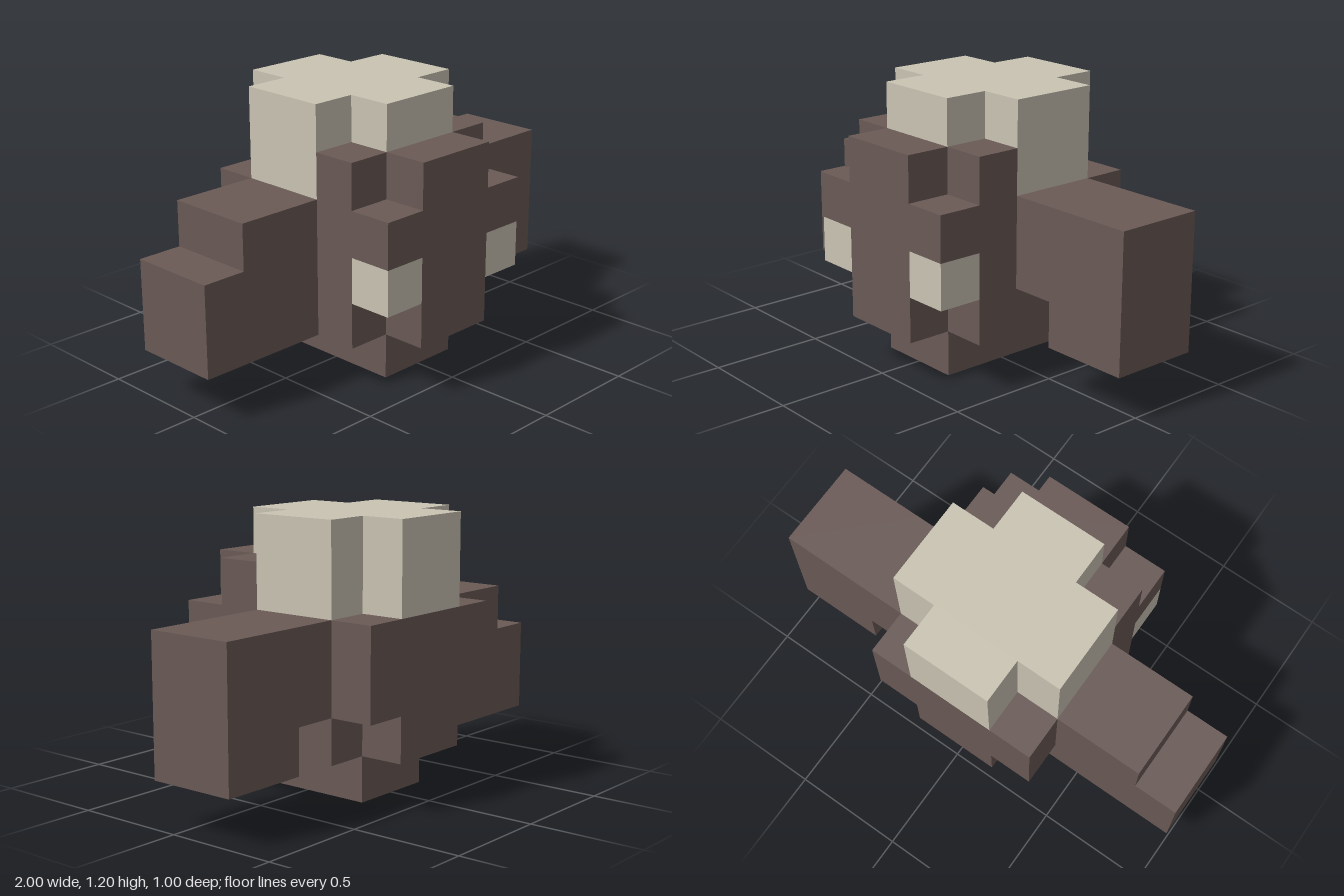
import * as THREE from 'three';

export function createModel() {
  const model = new THREE.Group();
  model.name = 'blockFigure';

  const brown = new THREE.MeshStandardMaterial({ color: 0x6a5a56 });
  brown.name = 'darkBrown';
  const cream = new THREE.MeshStandardMaterial({ color: 0xcac4b3 });
  cream.name = 'bone';

  // Box given by its extents along each axis
  const block = (parent, name, material, [x0, x1], [y0, y1], [z0, z1]) => {
    const mesh = new THREE.Mesh(new THREE.BoxGeometry(x1 - x0, y1 - y0, z1 - z0), material);
    mesh.position.set((x0 + x1) / 2, (y0 + y1) / 2, (z0 + z1) / 2);
    mesh.name = name;
    parent.add(mesh);
  };
  const part = (name) => {
    const group = new THREE.Group();
    group.name = name;
    model.add(group);
    return group;
  };

  // Base
  block(model, 'base', brown, [-0.2, 0.2], [0, 0.2], [-0.3, 0.3]);

  // Body: core, stepped back and raised snout column
  const body = part('body');
  block(body, 'core', brown, [-0.4, 0.4], [0.2, 0.8], [-0.3, 0.3]);
  block(body, 'upperBack', brown, [-0.4, 0.4], [0.4, 0.8], [-0.5, -0.3]);
  block(body, 'lowerBack', brown, [-0.2, 0.2], [0.2, 0.4], [-0.5, -0.3]);
  block(body, 'faceColumn', brown, [-0.2, 0.2], [0.2, 1], [0.3, 0.5]);

  // Brows, eyes and the raised shoulders behind them
  const face = part('face');
  for (const [side, xs] of [['right', [-0.4, -0.2]], ['left', [0.2, 0.4]]]) {
    block(face, side + 'Eye', cream, xs, [0.4, 0.6], [0.3, 0.5]);
    block(face, side + 'Brow', brown, xs, [0.6, 0.8], [0.3, 0.5]);
    block(face, side + 'Crest', brown, xs, [0.8, 1], [0.1, 0.3]);
  }

  // Left arm, hooked down at the end
  const leftArm = part('leftArm');
  block(leftArm, 'leftUpperArm', brown, [0.4, 0.6], [0.4, 0.8], [-0.3, 0.1]);
  block(leftArm, 'leftHand', brown, [0.6, 1], [0.2, 0.8], [-0.3, 0.1]);

  // Right arm, stepped lower at the end
  const rightArm = part('rightArm');
  block(rightArm, 'rightUpperArm', brown, [-0.8, -0.4], [0.2, 0.8], [-0.3, 0.1]);
  block(rightArm, 'rightHand', brown, [-1, -0.8], [0.2, 0.6], [-0.3, 0.1]);

  // Cross-shaped cap
  const cap = part('cap');
  block(cap, 'capMiddle', cream, [-0.4, 0.4], [0.8, 1.2], [-0.3, 0.1]);
  block(cap, 'capBack', cream, [-0.2, 0.2], [0.8, 1.2], [-0.5, -0.3]);
  block(cap, 'capFront', cream, [-0.2, 0.2], [0.8, 1.2], [0.1, 0.3]);

  return model;
}
